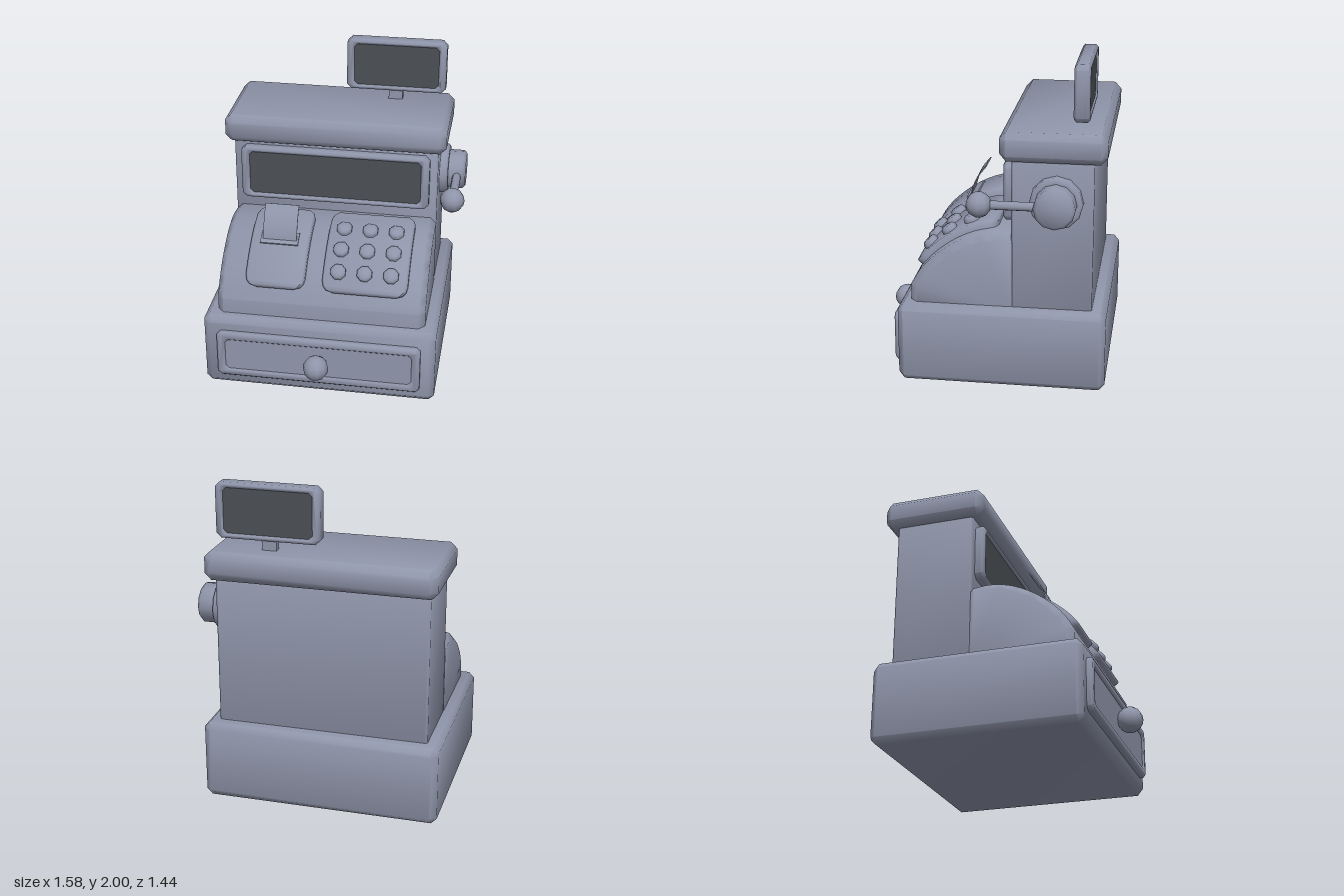
import * as THREE from 'three';
import { toCreasedNormals } from 'three/addons/utils/BufferGeometryUtils.js';

const CX = -0.055; // middle of the cabinet

export function createModel() {
  const group = new THREE.Group();
  const casing = new THREE.MeshStandardMaterial({ color: 0x8f95aa });
  casing.name = 'greyBlueCasing';
  const glass = new THREE.MeshStandardMaterial({ color: 0x4b4f53 });
  glass.name = 'darkGlass';

  const add = (name, geo, x = 0, y = 0, z = 0, mat = casing) => {
    const mesh = new THREE.Mesh(geo, mat);
    mesh.name = name;
    mesh.position.set(x, y, z);
    group.add(mesh);
    return mesh;
  };
  const crease = (geo) => toCreasedNormals(geo, 0.9);

  // Rectangle with cut corners
  const outline = (w, h, c, Type = THREE.Shape) => {
    const a = w / 2, b = h / 2;
    return new Type([
      [-a + c, -b], [a - c, -b], [a, -b + c], [a, b - c],
      [a - c, b], [-a + c, b], [-a, b - c], [-a, -b + c],
    ].map(([x, y]) => new THREE.Vector2(x, y)));
  };
  const extrude = (shape, d, b) => crease(new THREE.ExtrudeGeometry(shape, {
    depth: d - 2 * b, bevelThickness: b, bevelSize: b, bevelOffset: -b, bevelSegments: 1,
  }).translate(0, 0, b - d / 2));
  const slab = (w, h, d, b, c = b) => extrude(outline(w, h, c), d, b);
  const frame = (w, h, d, bx, by, b, c) => {
    const shape = outline(w, h, c);
    shape.holes.push(outline(w - 2 * bx, h - 2 * by, 0.02, THREE.Path));
    return extrude(shape, d, b);
  };

  // Cabinet
  add('base', slab(1.47, 0.5, 1.27, 0.035), CX, 0.25, -0.085);
  add('cabinet', slab(1.31, 1.0, 0.49, 0.012), CX, 0.95, -0.385);
  add('topSlab', slab(1.41, 0.18, 0.635, 0.04), CX, 1.51, -0.388);

  // Sloping front, following one curve from bottom front to top back
  const slope = new THREE.CatmullRomCurve3([
    [0.6, 0.48], [0.7, 0.42], [0.8, 0.325], [0.885, 0.205],
    [0.94, 0.08], [0.96, -0.04], [0.945, -0.18],
  ].map(([y, z]) => new THREE.Vector3(0, y, z)));
  const hump = new THREE.Shape([
    new THREE.Vector2(-0.18, 0.42), new THREE.Vector2(0.48, 0.42),
    ...slope.getPoints(14).map((p) => new THREE.Vector2(p.z, p.y)),
  ]);
  add('slopingFront', extrude(hump, 1.314, 0.04).rotateY(-Math.PI / 2), CX);

  // Place on the slope at a given z, raised along its normal
  const findU = (z) => {
    let lo = 0, hi = 1;
    for (let i = 0; i < 30; i++) {
      const mid = (lo + hi) / 2;
      if (slope.getPointAt(mid).z > z) lo = mid; else hi = mid;
    }
    return lo;
  };
  const onSlope = (u, lift) => {
    const p = slope.getPointAt(u), t = slope.getTangentAt(u);
    const n = new THREE.Vector3(0, -t.z, t.y);
    return { p: p.addScaledVector(n, lift), n };
  };

  // Curved raised panel, built from cross-sections along the slope
  const curvedPanel = (w, H) => {
    const u0 = findU(0.435), u1 = findU(-0.045);
    const len = (u1 - u0) * slope.getLength(), r = 0.07, b = 0.014;
    const ends = [[0, -0.02], [0, H - b], [b, H], [r * 0.5, H], [r, H]];
    const stations = [...ends];
    for (let i = 1; i < 10; i++) stations.push([r + (len - 2 * r) * i / 10, H]);
    ends.reverse().forEach(([d, h]) => stations.push([len - d, h]));
    const pos = [], index = [];
    stations.forEach(([s, h], i) => {
      const d = Math.min(s, len - s, r);
      const half = w / 2 - (r - Math.sqrt(r * r - (r - d) ** 2));
      const side = Math.min(h, H - b);
      const ring = [[-half, -0.02], [-half, side], [-half + b, h],
        [half - b, h], [half, side], [half, -0.02]];
      ring.forEach(([x, lift], j) => {
        const { p } = onSlope(u0 + (u1 - u0) * s / len, lift);
        pos.push(x, p.y, p.z);
        if (i && j) {
          const c = i * 6 + j, a = c - 6;
          index.push(a - 1, a, c - 1, a, c, c - 1);
        }
      });
    });
    const geo = new THREE.BufferGeometry();
    geo.setAttribute('position', new THREE.Float32BufferAttribute(pos, 3));
    geo.setIndex(index);
    return crease(geo);
  };
  add('receiptPanel', curvedPanel(0.375, 0.04), -0.347);
  add('keyPanel', curvedPanel(0.535, 0.04), 0.217);

  // Keys
  const up = new THREE.Vector3(0, 1, 0);
  const keyGeo = crease(new THREE.LatheGeometry([
    [0.05, -0.03], [0.05, 0.022], [0.036, 0.036], [0, 0.036],
  ].map(([x, y]) => new THREE.Vector2(x, y)), 8, Math.PI / 8));
  for (const z of [0.355, 0.245, 0.115]) {
    for (const x of [0.047, 0.212, 0.377]) {
      const { p, n } = onSlope(findU(z), 0.04);
      add('key', keyGeo, x, p.y, p.z).quaternion.setFromUnitVectors(up, n);
    }
  }

  // Receipt slot and curled paper
  const slot = onSlope(findU(0.205), 0.042);
  add('receiptSlot', new THREE.BoxGeometry(0.24, 0.014, 0.09), -0.35, slot.p.y, slot.p.z)
    .quaternion.setFromUnitVectors(up, slot.n);
  const curl = new THREE.SplineCurve([
    [0.25, 0.87], [0.235, 0.96], [0.195, 1.05], [0.142, 1.12],
  ].map(([z, y]) => new THREE.Vector2(z, y))).getPoints(8);
  const sheet = new THREE.Shape([
    ...curl, ...curl.map((p) => new THREE.Vector2(p.x - 0.007, p.y - 0.003)).reverse(),
  ]);
  add('receiptPaper', extrude(sheet, 0.215, 0).rotateY(-Math.PI / 2), -0.348);

  // Front window
  add('windowFrame', frame(1.21, 0.36, 0.09, 0.055, 0.038, 0.015, 0.03), CX, 1.21, -0.13);
  add('windowGlass', new THREE.BoxGeometry(1.11, 0.295, 0.04), CX, 1.213, -0.118, glass);

  // Customer display, glazed on both sides
  add('displayPost', new THREE.BoxGeometry(0.09, 0.12, 0.05), 0.277, 1.63, -0.545);
  add('displayFrame', frame(0.64, 0.34, 0.095, 0.052, 0.036, 0.015, 0.03), 0.28, 1.83, -0.547);
  add('displayGlass', new THREE.BoxGeometry(0.545, 0.275, 0.074), 0.28, 1.83, -0.547, glass);

  // Drawer with a sunk centre and a round knob
  add('drawerFrame', frame(1.29, 0.32, 0.06, 0.055, 0.055, 0.012, 0.025), CX, 0.25, 0.556);
  add('drawerCentre', new THREE.BoxGeometry(1.19, 0.22, 0.04), CX, 0.25, 0.556);
  add('drawerKnob', new THREE.SphereGeometry(0.08, 10, 8), CX, 0.25, 0.642);

  // Side crank
  const hub = crease(new THREE.LatheGeometry([
    [0.16, -0.03], [0.16, 0.042], [0.147, 0.055], [0.125, 0.055],
    [0.125, 0.145], [0.105, 0.165], [0, 0.165],
  ].map(([x, y]) => new THREE.Vector2(x, y)), 12));
  add('crankHub', hub.rotateZ(-Math.PI / 2), 0.598, 1.182, -0.41);
  add('crankArm', new THREE.CylinderGeometry(0.028, 0.028, 0.44, 8).rotateX(Math.PI / 2),
    0.708, 1.182, -0.19);
  add('crankKnob', new THREE.SphereGeometry(0.077, 10, 8), 0.708, 1.182, 0.036);

  return group;
}
